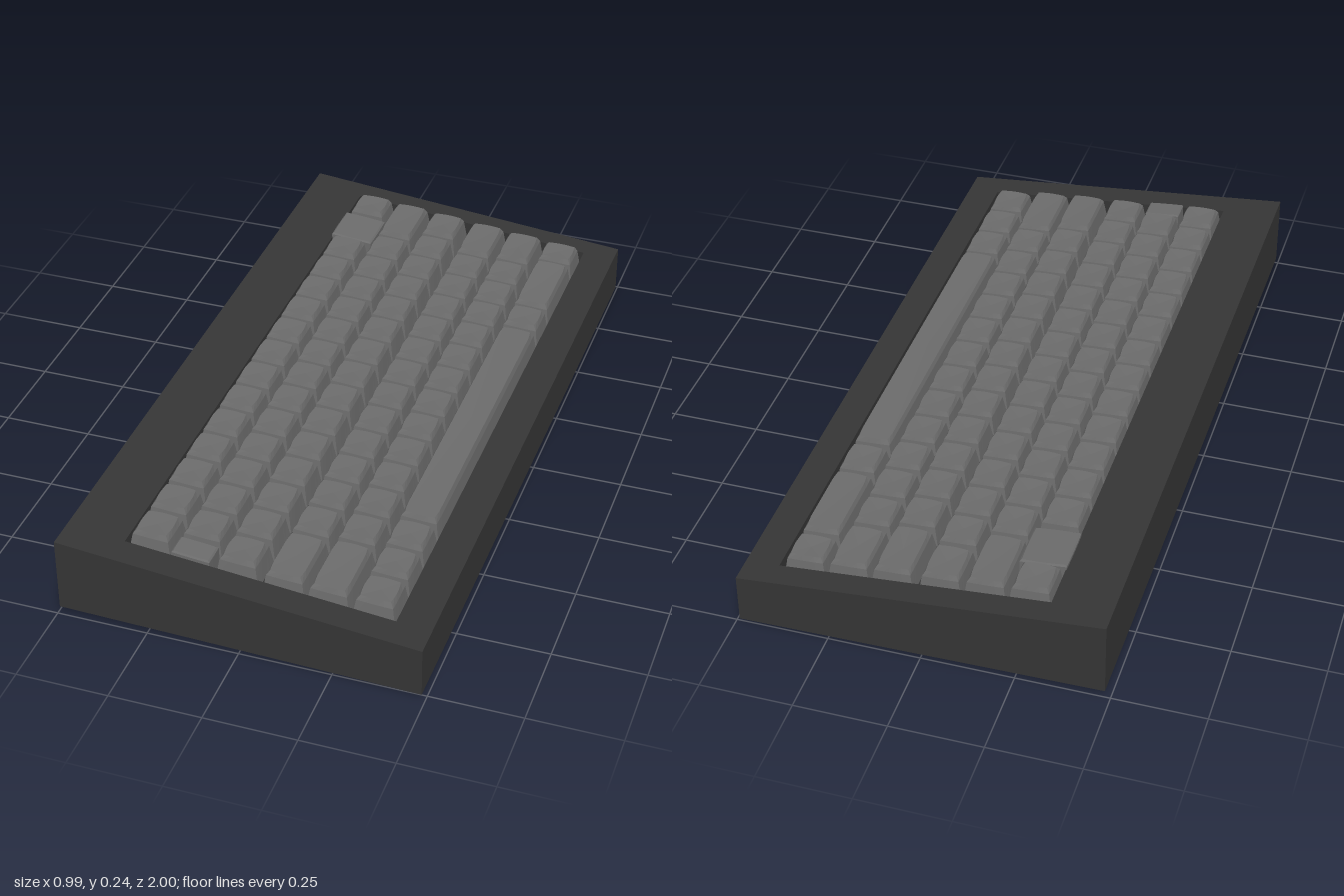
import * as THREE from 'three';

const SLOPE = 0.092;
const topY = (x) => 0.185 - SLOPE * x;       // sloping upper face of the case
const bottomY = (x) => 0.01 - 0.02 * x;      // slightly tilted underside
const U = 0.1204;                            // key pitch

// Rounded-square unit ring; corners at odd multiples of 45 degrees
const SIDES = 20;
function ring(round) {
  const pts = [];
  for (let i = 0; i < SIDES; i++) {
    const a = ((i + 0.5) / SIDES) * Math.PI * 2;
    const c = Math.cos(a), s = Math.sin(a);
    const m = Math.max(Math.abs(c), Math.abs(s));
    pts.push([THREE.MathUtils.lerp(c / m, c, round), THREE.MathUtils.lerp(s / m, s, round)]);
  }
  return pts;
}

// Loft of stacked sections { inset, h, round, tilt }, following the slope at cx
function loft(cx, z0, z1, halfX, sections) {
  const cz = (z0 + z1) / 2, halfZ = (z1 - z0) / 2;
  const rings = sections.map(({ inset, h, round, tilt }) => {
    const hx = Math.max(halfX - inset, 0), hz = Math.max(halfZ - inset, 0);
    const r = Math.min(hx, hz);
    return ring(round).map(([u, v]) => {
      const dx = u * r + Math.sign(u) * (hx - r);
      const dz = v * r + Math.sign(v) * (hz - r);
      return [cx + dx, topY(cx) + h - SLOPE * tilt * dx, cz + dz];
    });
  });
  const last = sections[sections.length - 1];
  rings.push(ring(0).map(() => [cx, topY(cx) + last.h - (last.dish || 0), cz]));
  const pos = [];
  for (let k = 0; k < rings.length - 1; k++) {
    for (let i = 0; i < SIDES; i++) {
      const j = (i + 1) % SIDES;
      const A = rings[k][i], B = rings[k][j], C = rings[k + 1][i], D = rings[k + 1][j];
      pos.push(...A, ...C, ...B);
      if (k < rings.length - 2) pos.push(...B, ...C, ...D);
    }
  }
  const g = new THREE.BufferGeometry();
  g.setAttribute('position', new THREE.Float32BufferAttribute(pos, 3));
  g.computeVertexNormals();
  return g;
}

// Tapered key cap with a shallow dish on top
const CAP = [
  { inset: 0, h: -0.045, round: 0, tilt: 1 },
  { inset: 0.008, h: 0.012, round: 0.06, tilt: 0.6 },
  { inset: 0.0135, h: 0.025, round: 0.3, tilt: 0.3, dish: 0.003 },
];
// Flat-topped tile
const TILE = [
  { inset: 0, h: -0.045, round: 0, tilt: 1 },
  { inset: 0, h: 0.008, round: 0.05, tilt: 1 },
  { inset: 0.004, h: 0.012, round: 0.1, tilt: 1 },
];

// Each column: x centre, first centre and count of unit keys, extra keys as [zStart, zEnd]
const COLUMNS = [
  { x: -0.27, start: -0.6, count: 13, extra: [[-0.92, -0.805]] },
  { x: -0.152, start: -0.657, count: 13, extra: [[-0.92, -0.72]] },
  { x: -0.033, start: -0.72, count: 14, extra: [[-0.92, -0.785]] },
  { x: 0.095, start: -0.67, count: 12, extra: [[-0.92, -0.733], [0.717, 0.91]] },
  { x: 0.213, start: -0.69, count: 12, extra: [[-0.92, -0.755], [0.697, 0.91]] },
  { x: 0.332, start: 0.605, count: 3,
    extra: [[-0.92, -0.81], [-0.805, -0.545], [-0.54, -0.423], [-0.417, 0.542]] },
];

export function createModel() {
  const model = new THREE.Group();
  model.name = 'keyboard';
  const caseMat = new THREE.MeshStandardMaterial({ color: 0x353535 });
  caseMat.name = 'charcoal';
  const keyMat = new THREE.MeshStandardMaterial({ color: 0x6b6b6b });
  keyMat.name = 'grey';

  const add = (name, geometry, material, parent = model) => {
    const mesh = new THREE.Mesh(geometry, material);
    mesh.name = name;
    parent.add(mesh);
  };

  // Recess outline in plan
  const rx0 = -0.33, rx1 = 0.397, rz0 = -0.928, rz1 = 0.918;

  // Replaces heights 0 and 1 by the underside and a sloped upper surface
  const wedge = (geometry, drop) => {
    const g = geometry.toNonIndexed();
    const p = g.attributes.position;
    for (let i = 0; i < p.count; i++) {
      const x = p.getX(i);
      p.setY(i, p.getY(i) > 0.5 ? topY(x) - drop : bottomY(x));
    }
    g.computeVertexNormals();
    return g;
  };

  // Case frame: plan outline with a hole, raised to the slope
  const rect = (target, x0, x1, y0, y1) => {
    target.moveTo(x0, y0).lineTo(x1, y0).lineTo(x1, y1).lineTo(x0, y1).closePath();
    return target;
  };
  const outline = rect(new THREE.Shape(), -0.49, 0.49, -0.997, 0.997);
  outline.holes.push(rect(new THREE.Path(), rx0, rx1, -rz1, -rz0));
  const frame = new THREE.ExtrudeGeometry(outline, { depth: 1, bevelEnabled: false });
  frame.rotateX(-Math.PI / 2);
  add('caseFrame', wedge(frame, 0), caseMat);

  // Case floor under the keys
  const floor = new THREE.BoxGeometry(rx1 - rx0, 1, rz1 - rz0);
  floor.translate((rx0 + rx1) / 2, 0.5, (rz0 + rz1) / 2);
  add('caseFloor', wedge(floor, 0.045), caseMat);

  // Key columns
  const half = 0.0575;
  COLUMNS.forEach(({ x, start, count, extra }, c) => {
    const column = new THREE.Group();
    column.name = `keyColumn${c + 1}`;
    model.add(column);
    for (let i = 0; i < count; i++) {
      const z = start + i * U;
      add('key', loft(x, z - half, z + half, half, CAP), keyMat, column);
    }
    extra.forEach(([z0, z1]) => add('wideKey', loft(x, z0, z1, half, CAP), keyMat, column));
  });

  // Flat tiles beside the first two columns' keys
  add('largeTile', loft(-0.27, -0.803, -0.665, 0.063, TILE), keyMat);
  add('smallTile', loft(-0.152, 0.85, 0.917, 0.052, TILE), keyMat);

  // Slight turn of the whole body
  model.rotation.y = -0.005;
  return model;
}
